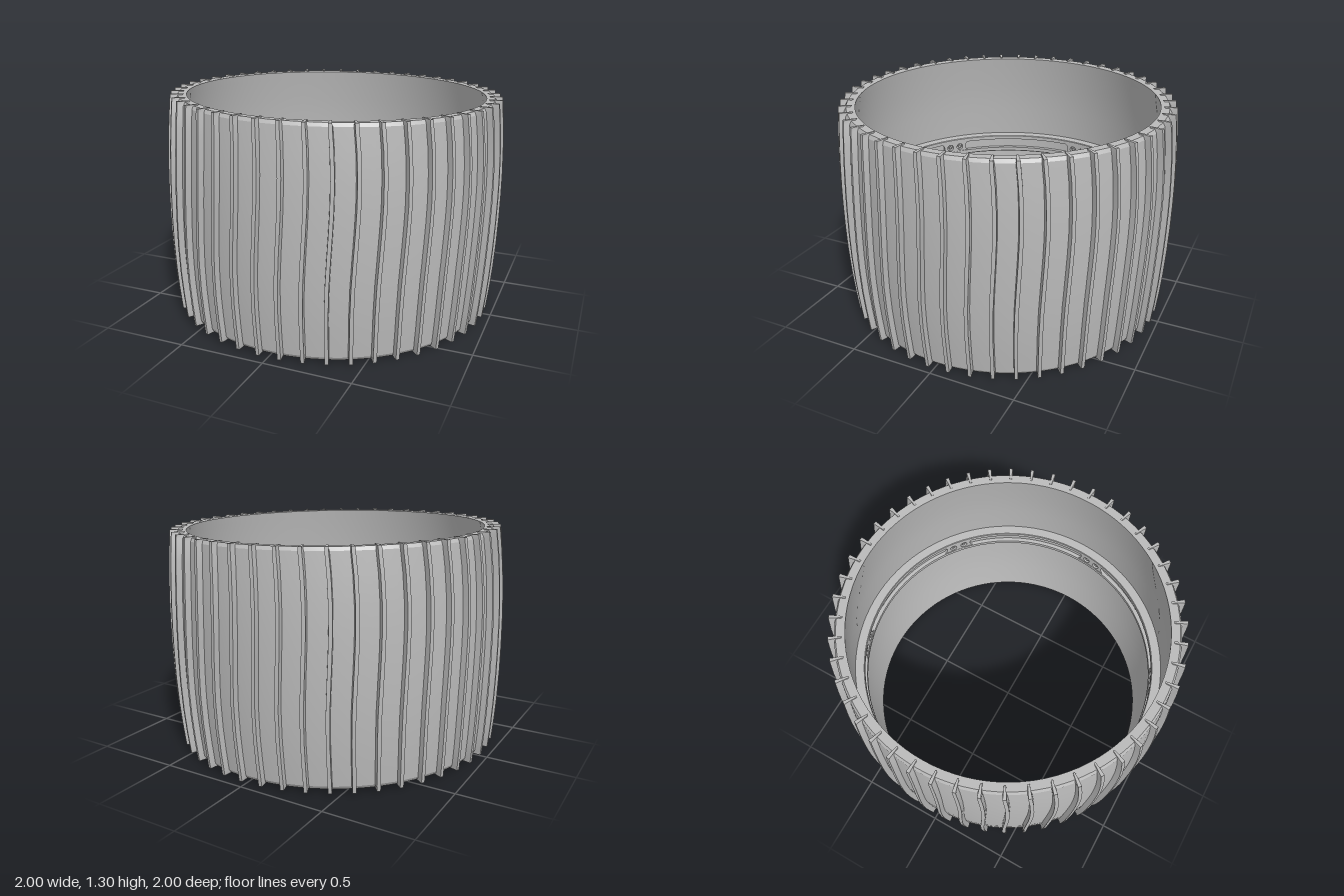
import * as THREE from 'three';
import { toCreasedNormals, mergeGeometries } from 'three/addons/utils/BufferGeometryUtils.js';

const RIBS = 48;
const HALF = 0.635; // half of the tread width
const bodyRadius = (y) => 0.967 - 0.034 * Math.pow(Math.abs(y) / HALF, 2.2);

const material = new THREE.MeshStandardMaterial({ color: 0xbababa });
material.name = 'grey';

function mesh(name, geometry) {
  const m = new THREE.Mesh(toCreasedNormals(geometry, 0.45), material);
  m.name = name;
  return m;
}

// Closed carcass section: crowned outside, hollow inside, grooved centre ridge
function carcass() {
  const pts = [];
  for (let i = 0; i <= 10; i++) {
    const y = -0.61 + 0.122 * i;
    pts.push([bodyRadius(y), y]);
  }
  const upper = [[0.924, 0.629], [0.875, 0.627], [0.882, 0.58], [0.905, 0.43], [0.923, 0.25],
    [0.932, 0.063], [0.88, 0.06], [0.877, 0.056], [0.877, 0.032], [0.9, 0.03]];
  pts.push(...upper, ...upper.map(([r, y]) => [r, -y]).reverse(), pts[0]);
  return new THREE.LatheGeometry(pts.map(([r, y]) => new THREE.Vector2(r, y)), 96);
}

// Wavy tread bar, hooked inward over both shoulders; each row is [height, sideways shift]
const rows = [[-HALF, -0.009], [-0.61, -0.009], [-0.5, -0.011], [-0.36, -0.013], [-0.2, -0.011],
  [-0.05, -0.004], [0.1, 0.004], [0.22, 0.009], [0.36, 0.01], [0.5, 0.005], [0.61, -0.004],
  [HALF, -0.005]];
function treadBar() {
  const n = rows.length - 1;
  const g = new THREE.BoxGeometry(1, 1, 1, 1, n, 1);
  const p = g.attributes.position;
  for (let i = 0; i < p.count; i++) {
    const row = Math.round((p.getY(i) + 0.5) * n);
    const [y, shift] = rows[row];
    const end = row === 0 || row === n;
    const outer = p.getZ(i) > 0;
    const r = outer ? bodyRadius(y) + 0.033 : end ? 0.89 : bodyRadius(y) - 0.012;
    const width = outer ? 0.02 : end ? 0.01 : 0.026;
    const a = (p.getX(i) * width + shift) / 0.97;
    p.setXYZ(i, r * Math.sin(a), y, r * Math.cos(a));
  }
  return g;
}

// Plate between two slots, with scooped ends and two holes, facing the axis
const HOLE = 0.036;
function slotLand() {
  const w = 0.112, h = 0.033;
  const shape = new THREE.Shape();
  shape.moveTo(-w, -h).lineTo(w, -h);
  shape.absarc(w, 0, h, -Math.PI / 2, -Math.PI * 1.5, true);
  shape.lineTo(-w, h);
  shape.absarc(-w, 0, h, Math.PI / 2, -Math.PI / 2, true);
  for (const s of [-1, 1]) {
    shape.holes.push(new THREE.Path().absarc(s * HOLE, 0, 0.022, 0, Math.PI * 2, true));
  }
  const g = new THREE.ExtrudeGeometry(shape, { depth: 0.026, bevelEnabled: false, curveSegments: 10 });
  return g.rotateY(Math.PI).translate(0, 0, 0.904);
}

export function createModel() {
  const model = new THREE.Group();
  model.name = 'ribbedTyre';
  const tyre = new THREE.Group();
  tyre.name = 'tyre';
  model.add(tyre);

  tyre.add(mesh('carcass', carcass()));

  const bar = treadBar();
  const bars = [];
  for (let i = 0; i < RIBS; i++) {
    bars.push(bar.clone().rotateY(-0.03 + (i / RIBS) * Math.PI * 2));
  }
  tyre.add(mesh('treadBars', mergeGeometries(bars)));

  // Six hole pairs around the inner ridge
  const lands = [], studs = [];
  for (let i = 0; i < 6; i++) {
    const a = THREE.MathUtils.degToRad(20.8 + 60 * i);
    lands.push(slotLand().rotateY(a));
    for (const s of [-1, 1]) {
      const stud = new THREE.CylinderGeometry(0.01, 0.01, 0.02, 8);
      stud.rotateX(Math.PI / 2).translate(s * HOLE, 0, 0.893).rotateY(a);
      studs.push(stud);
    }
  }
  tyre.add(mesh('slotLands', mergeGeometries(lands)));
  tyre.add(mesh('studs', mergeGeometries(studs)));

  // Slight lean of the standing ring
  tyre.rotation.set(-0.006, 0, -0.0125);
  tyre.position.y = 0.648;
  return model;
}
